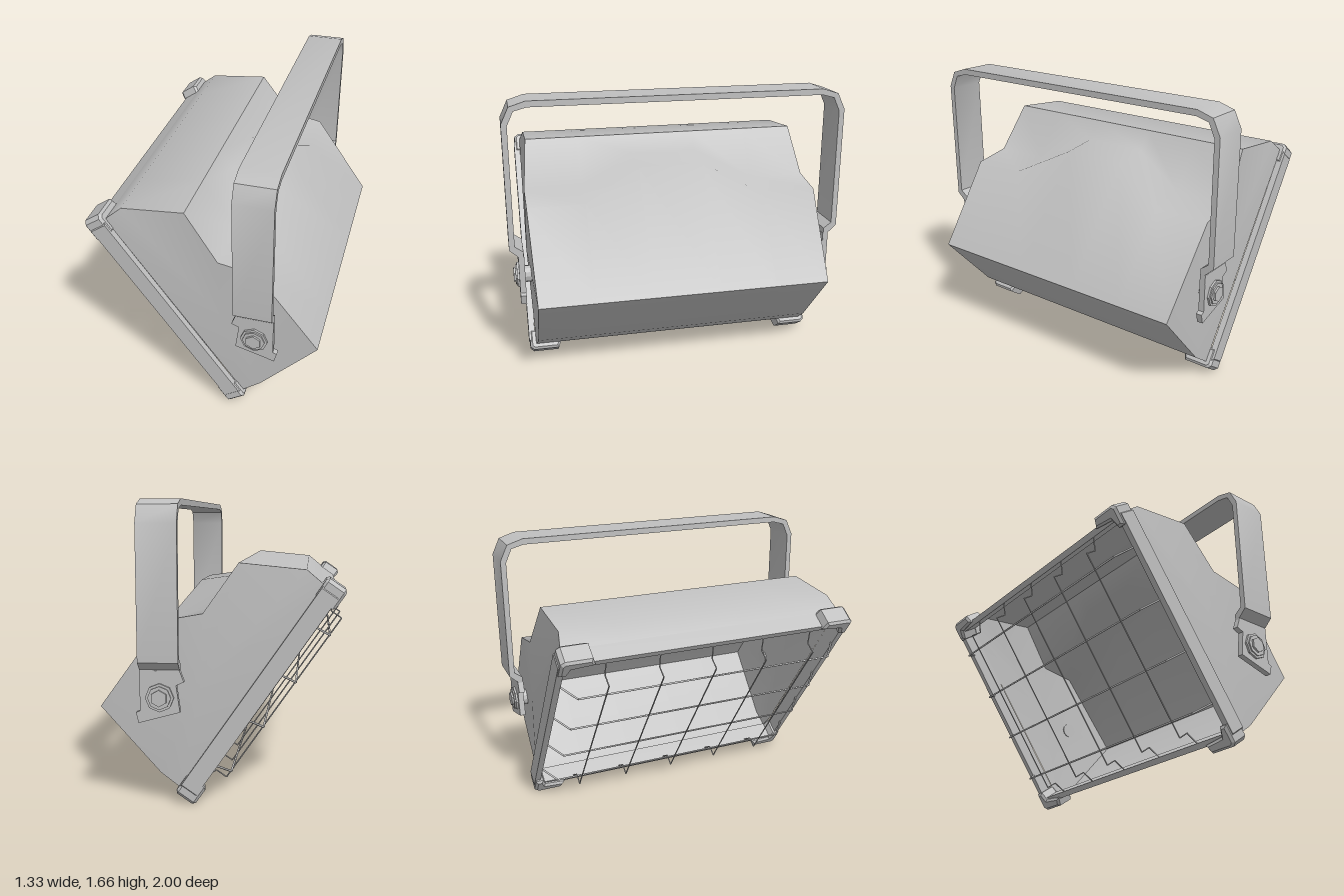
import * as THREE from 'three';
import { toCreasedNormals } from 'three/addons/utils/BufferGeometryUtils.js';

const metal = new THREE.MeshStandardMaterial({ color: 0xc0c0c0, side: THREE.DoubleSide });
metal.name = 'grey metal';

function add(parent, geometry, name) {
  const mesh = new THREE.Mesh(geometry, metal);
  mesh.name = name;
  parent.add(mesh);
  return mesh;
}

function extrude(points, depth, options = {}) {
  const { hole, bevel = 0 } = options;
  const shape = new THREE.Shape(points.map(p => new THREE.Vector2(...p)));
  if (hole) shape.holes.push(new THREE.Path(hole.map(p => new THREE.Vector2(...p))));
  return new THREE.ExtrudeGeometry(shape, {
    depth, bevelEnabled: bevel > 0, bevelThickness: bevel, bevelSize: bevel, bevelOffset: -bevel, bevelSegments: 1,
  });
}

// Thin round wire following straight runs between points
function wire(parent, points, radius, name) {
  for (let i = 0; i + 1 < points.length; i++) {
    const a = new THREE.Vector3(...points[i]), b = new THREE.Vector3(...points[i + 1]);
    const rod = add(parent, new THREE.CylinderGeometry(radius, radius, a.distanceTo(b), 6), name);
    rod.position.copy(a).add(b).multiplyScalar(0.5);
    rod.quaternion.setFromUnitVectors(new THREE.Vector3(0, 1, 0), b.sub(a).normalize());
  }
}

// Hollow housing: profiles swept along z, with a raised middle at the back and an open front
function housingGeometry() {
  const profile = (c, d) => [[-0.55, 1.21], [-0.46, 1.285], [-0.1, 1.32], c, d, [0.66, 0.53], [0.33, 0.16], [0.225, 0.085]];
  const low = profile([0.09, 1.05], [0.31, 1.01]);
  const high = profile([-0.02, 1.21], [0.19, 1.18]);
  const endZ = [0.875, 0.855, 0.855, 0.885, 0.885, 0.865, 0.86, 0.87];
  const section = (pts, z) => pts.map((p, i) => [...p, z === null ? endZ[i] : z]);
  const flip = s => s.map(([x, y, z]) => [x, y, -z]);
  const front = [section(low, null), section(low, 0.54), section(high, 0.2)];
  const rings = [...front, ...front.slice().reverse().map(flip)];
  const pos = [];
  const n = low.length;
  for (let r = 0; r + 1 < rings.length; r++) {
    for (let i = 0; i + 1 < n; i++) {
      const a = rings[r][i], b = rings[r][i + 1], c = rings[r + 1][i + 1], d = rings[r + 1][i];
      pos.push(...a, ...b, ...c, ...a, ...c, ...d);
    }
  }
  // Slightly domed end panels
  const last = rings[rings.length - 1];
  for (let i = 0; i < n; i++) {
    const j = (i + 1) % n;
    pos.push(0.1, 0.68, 0.893, ...rings[0][j], ...rings[0][i]);
    pos.push(0.1, 0.68, -0.893, ...last[i], ...last[j]);
  }
  const geometry = new THREE.BufferGeometry();
  geometry.setAttribute('position', new THREE.Float32BufferAttribute(pos, 3));
  return toCreasedNormals(geometry, THREE.MathUtils.degToRad(58));
}

export function createModel() {
  const model = new THREE.Group();
  model.name = 'floodlight';
  add(model, housingGeometry(), 'housing');

  // Tilted front: local x runs down the opening, y across it, z outward
  const face = new THREE.Group();
  face.name = 'frontFace';
  const down = new THREE.Vector3(0.567, -0.823, 0).normalize();
  const out = new THREE.Vector3(down.y, -down.x, 0);
  face.quaternion.setFromRotationMatrix(new THREE.Matrix4().makeBasis(down, new THREE.Vector3(0, 0, 1), out));
  face.position.set(-0.575, 1.247, 0);
  model.add(face);

  const length = 1.445;
  const rect = (u, y, c) => [[u, -y + c], [u + c, -y], [length - u - c, -y], [length - u, -y + c],
    [length - u, y - c], [length - u - c, y], [u + c, y], [u, y - c]];
  add(face, extrude(rect(0.045, 0.912, 0.02), 0.1, { hole: rect(0.08, 0.875, 0.01) }), 'rim');

  // L-shaped corner clips
  const clip = [[0, 0.73], [0, 0.885], [0.02, 0.907], [0.125, 0.907], [0.125, 0.86], [0.07, 0.84], [0.055, 0.71]];
  for (const end of [0, 1]) {
    for (const side of [-1, 1]) {
      const pts = clip.map(([u, y]) => [end ? length - u : u, y * side]);
      add(face, extrude(pts, 0.1, { bevel: 0.014 }), 'cornerClip').position.z = 0.009;
    }
  }

  // Wire guard
  for (const y of [-0.645, -0.325, 0, 0.325, 0.645]) {
    wire(face, [[0.155, y, 0.13], [0.155, y, 0.2], [1.287, y, 0.2], [1.287, y, 0.13]], 0.004, 'guardWireDown');
    wire(face, [[0.155, y, 0.13], [0.07, y, 0.09]], 0.004, 'guardWireEnd');
    wire(face, [[1.287, y, 0.13], [1.375, y, 0.09]], 0.004, 'guardWireEnd');
  }
  for (const u of [0.253, 0.57, 0.877, 1.19]) {
    wire(face, [[u, -0.88, 0.09], [u, -0.8, 0.188], [u, 0.8, 0.188], [u, 0.88, 0.09]], 0.006, 'guardWireAcross');
  }

  // Mounting bracket
  const outer = [[0.95, 0.7], [0.95, 0.755], [1, 0.8], [1, 1.53], [0.955, 1.625], [0.86, 1.655]];
  const inner = [[0.855, 1.62], [0.93, 1.6], [0.967, 1.52], [0.967, 0.82], [0.92, 0.785], [0.92, 0.7]];
  const mirror = pts => pts.slice().reverse().map(([z, y]) => [-z, y]);
  const strap = extrude([...outer, ...mirror(outer), ...mirror(inner), ...inner], 0.218);
  strap.rotateY(Math.PI / 2);
  add(model, toCreasedNormals(strap, 0.75), 'bracket').position.x = 0.205;

  // Pivot plates, washers and bolts
  const plate = [[0.205, 0.75], [0.183, 0.69], [0.225, 0.672], [0.205, 0.525], [0.43, 0.463],
    [0.445, 0.52], [0.422, 0.53], [0.422, 0.75]];
  for (const side of [-1, 1]) {
    const pivot = new THREE.Group();
    pivot.name = side > 0 ? 'leftPivot' : 'rightPivot';
    model.add(pivot);
    add(pivot, extrude(plate, 0.034), 'pivotPlate').position.z = side > 0 ? 0.917 : -0.951;
    const disc = (radius, sides, z0, z1, name) => {
      const m = add(pivot, toCreasedNormals(new THREE.CylinderGeometry(radius, radius, z1 - z0, sides), 0.5), name);
      m.rotation.x = Math.PI / 2;
      m.position.set(0.314, 0.605, side * (z0 + z1) / 2);
    };
    disc(0.05, 12, 0.875, 0.93, 'pivotPin');
    disc(0.078, 8, 0.94, 0.963, 'washer');
    disc(0.064, 8, 0.96, 0.971, 'nutFlange');
    disc(0.046, 6, 0.96, 0.982, 'boltHead');
  }
  return model;
}
